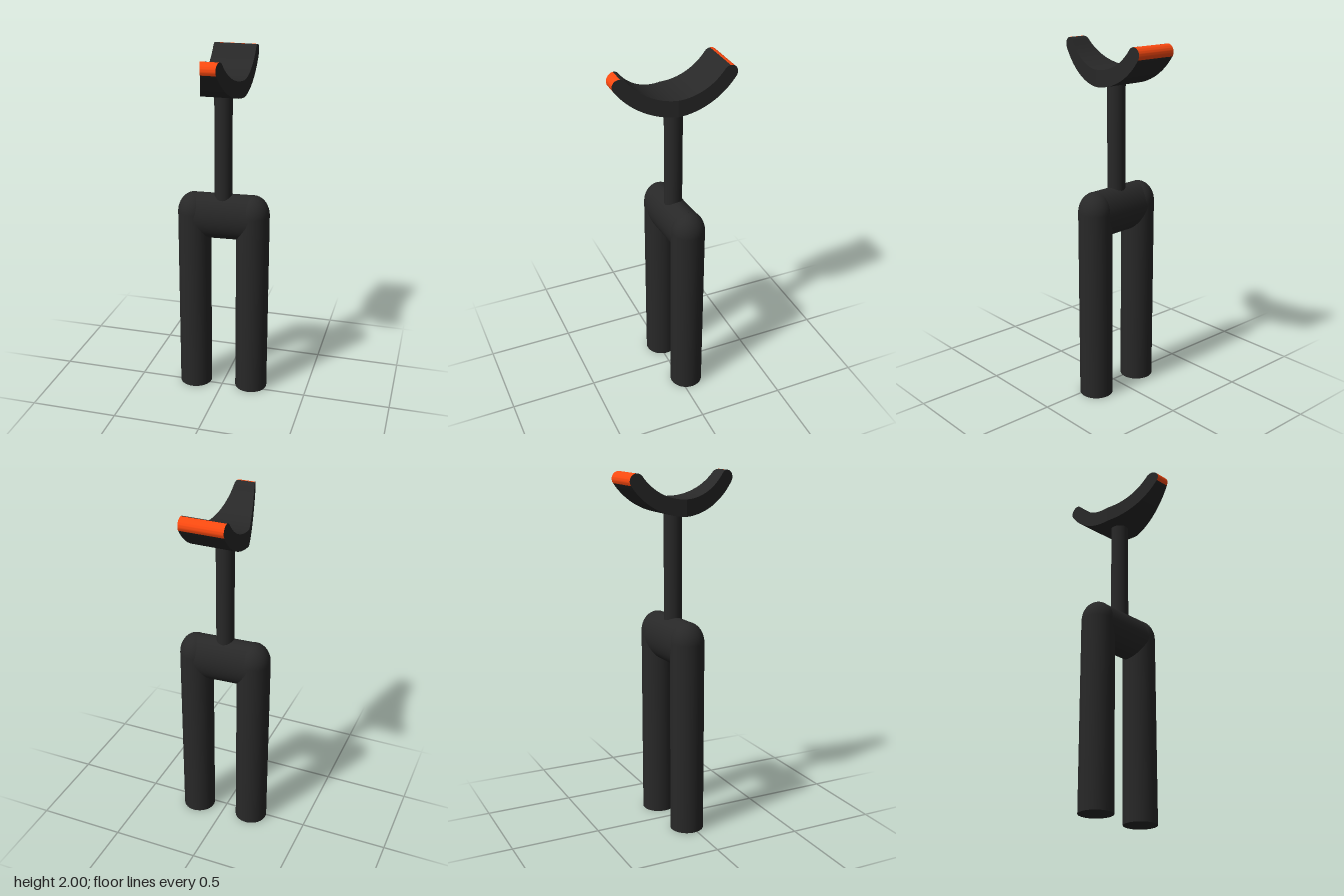
import * as THREE from 'three';
import { toCreasedNormals } from 'three/addons/utils/BufferGeometryUtils.js';

const black = new THREE.MeshStandardMaterial({ color: 0x282828 });
const orange = new THREE.MeshStandardMaterial({ color: 0xff4a10 });

function add(parent, name, geometry, material, x = 0, y = 0, z = 0) {
  const mesh = new THREE.Mesh(geometry, material);
  mesh.name = name;
  mesh.position.set(x, y, z);
  parent.add(mesh);
  return mesh;
}

// Cradle curve, drawn as (distance from the middle, height)
const ARC_R = 0.354, ARC_Y = 2.166, SWEEP = 0.95;
const halfThickness = (t) => 0.046 - 0.006 * t;
function arcPoint(t, side) {
  const a = SWEEP * t, r = ARC_R + side * halfThickness(t);
  return new THREE.Vector2(Math.sin(a) * r, ARC_Y - Math.cos(a) * r);
}

// Rounded end of the cradle, between two angles
function tipArc(from, to, steps) {
  const c = arcPoint(1, 0), r = halfThickness(1), pts = [];
  for (let i = 0; i <= steps; i++) {
    const a = from + (to - from) * i / steps;
    pts.push(new THREE.Vector2(c.x + Math.cos(a) * r, c.y + Math.sin(a) * r));
  }
  return pts;
}
const INNER = SWEEP + Math.PI / 2, OUTER = SWEEP - Math.PI / 2, EDGE = 1.62;

function bodyProfile() {
  const n = 20, pts = [];
  for (let i = 0; i <= n; i++) pts.push(arcPoint(i / n, 1));
  pts.push(...tipArc(EDGE, INNER, 6));
  for (let i = n - 1; i >= 0; i--) pts.push(arcPoint(i / n, -1));
  return new THREE.Shape(pts);
}

// Extrudes a profile across x; the front half narrows to an off-centre tongue
function acrossX(shape, front) {
  const geo = new THREE.ExtrudeGeometry(shape, { depth: 1, bevelEnabled: false });
  const p = geo.attributes.position;
  for (let i = 0; i < p.count; i++) {
    const d = p.getX(i), c = p.getZ(i);
    const t = front ? d / 0.328 : 0;
    const lo = THREE.MathUtils.lerp(-0.122, -0.025, t);
    const hi = THREE.MathUtils.lerp(0.122, 0.055, t);
    p.setXYZ(i, THREE.MathUtils.lerp(lo, hi, front ? 1 - c : c), p.getY(i), front ? d : -d);
  }
  return toCreasedNormals(geo, 0.6);
}

export function createModel() {
  const model = new THREE.Group();
  model.name = 'cradleStand';

  // Two round legs joined by an oval crossbar, turned slightly
  const base = new THREE.Group();
  base.name = 'base';
  base.position.z = -0.03;
  base.rotation.y = 0.06;
  model.add(base);
  for (const [side, s] of [['left', 1], ['right', -1]]) {
    add(base, side + 'Leg', new THREE.CylinderGeometry(0.094, 0.094, 1.09, 32), black, s * 0.168, 0.545);
    const dome = new THREE.SphereGeometry(0.094, 32, 12, 0, Math.PI * 2, 0, Math.PI / 2);
    add(base, side + 'LegTop', dome, black, s * 0.168, 1.09).scale.y = 1.22;
  }
  const bar = new THREE.CylinderGeometry(1, 1, 0.336, 40).rotateZ(Math.PI / 2).scale(1, 0.1325, 0.093);
  add(base, 'crossbar', bar, black, 0, 1.0725);

  // Thin post
  add(model, 'post', new THREE.CylinderGeometry(0.05, 0.05, 0.66, 32), black, 0, 1.48, -0.025);

  // Curved cradle with coloured ends
  const cradle = new THREE.Group();
  cradle.name = 'cradle';
  model.add(cradle);
  for (const front of [true, false]) {
    const name = front ? 'front' : 'back';
    add(cradle, name + 'Cradle', acrossX(bodyProfile(), front), black);
    const tip = new THREE.Shape(tipArc(OUTER, EDGE, 14));
    add(cradle, name + 'Tip', acrossX(tip, front), [black, orange]);
  }
  return model;
}
